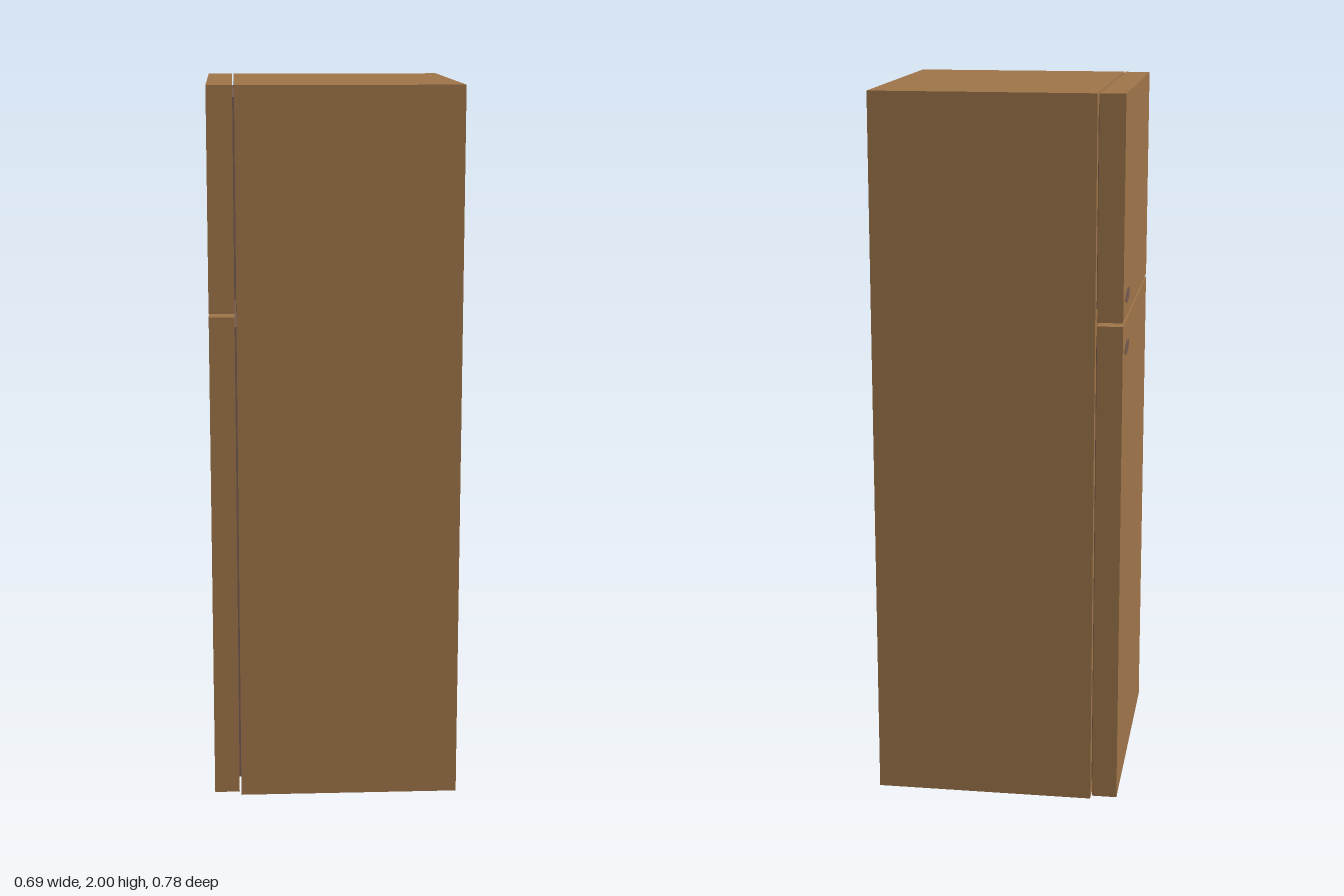
import * as THREE from 'three';

export function createModel() {
  const group = new THREE.Group();
  const brown = new THREE.MeshStandardMaterial({ color: 0xa0764a });
  brown.name = 'warm brown';
  const dark = new THREE.MeshStandardMaterial({ color: 0x775c50 });
  dark.name = 'dull dark brown';

  // box given by its minimum and maximum on each axis
  function box(name, material, [x0, x1], [y0, y1], [z0, z1]) {
    const mesh = new THREE.Mesh(new THREE.BoxGeometry(x1 - x0, y1 - y0, z1 - z0), material);
    mesh.position.set((x0 + x1) / 2, (y0 + y1) / 2, (z0 + z1) / 2);
    mesh.name = name;
    group.add(mesh);
  }

  // cabinet, with the back panel (+x face) in the dark colour
  box('cabinet', [dark, brown, brown, brown, brown, brown], [-0.27, 0.345], [0, 2], [-0.39, 0.39]);

  // doors on the -x side, each with an inset seal and an oval grip
  const doors = [
    { name: 'upper', y: [1.391, 2], grip: 1.447 },
    { name: 'lower', y: [0.008, 1.381], grip: 1.302 },
  ];
  for (const { name, y, grip } of doors) {
    box(name + 'Door', brown, [-0.345, -0.275], y, [-0.387, 0.385]);
    box(name + 'Seal', dark, [-0.275, -0.27], [y[0] + 0.032, y[1] - 0.032], [-0.356, 0.354]);

    const oval = new THREE.CylinderGeometry(1, 1, 0.002, 32);
    oval.rotateZ(Math.PI / 2);
    oval.scale(1, 0.019, 0.062);
    const handle = new THREE.Mesh(oval, dark);
    handle.position.set(-0.345, grip, -0.268);
    handle.name = name + 'Grip';
    group.add(handle);
  }

  return group;
}
